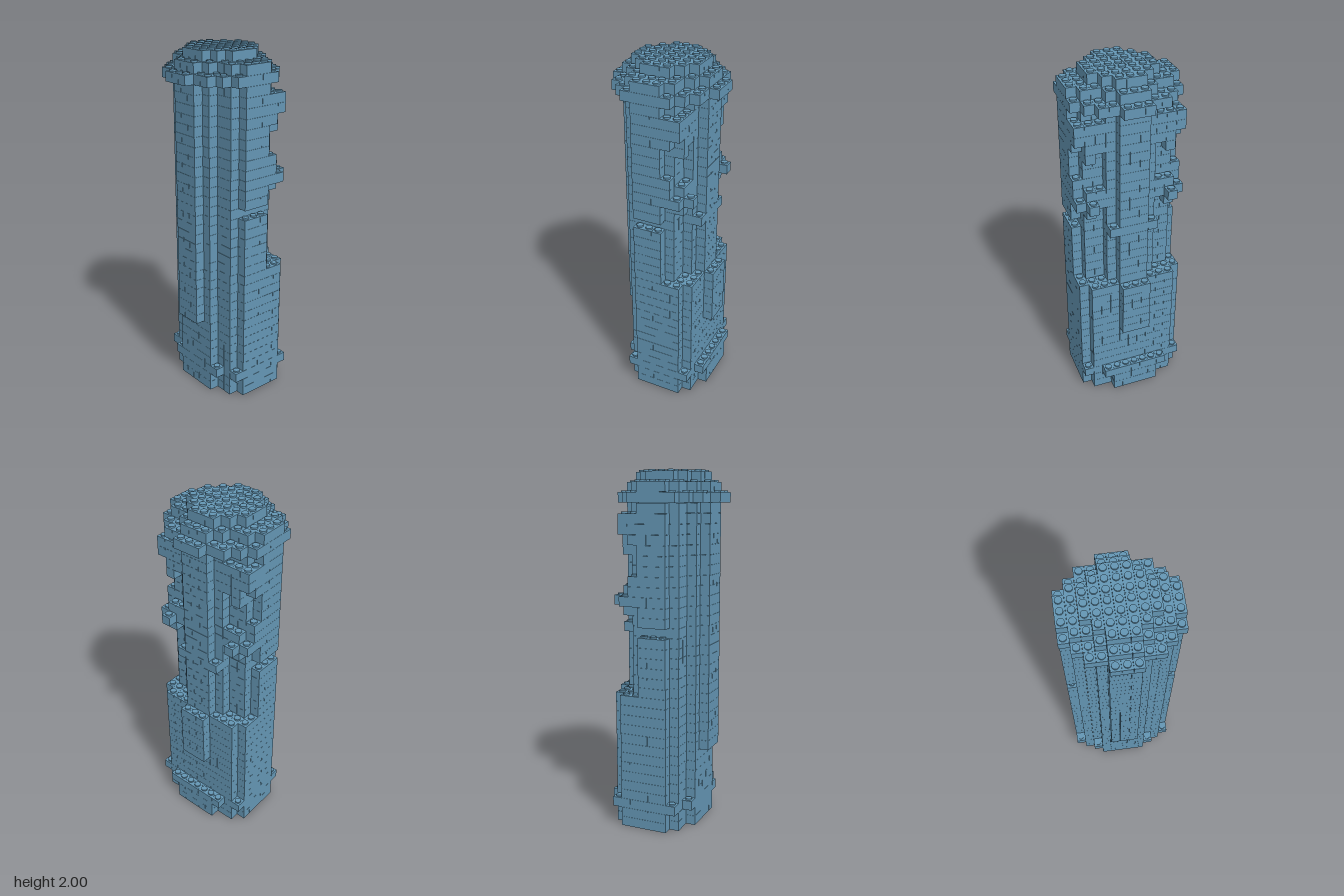
import * as THREE from 'three';
import { mergeGeometries } from 'three/addons/utils/BufferGeometryUtils.js';

const U = 0.0553;      // one cell, also one course height
const GAP = 0.0008;    // seam between bricks
const STUD_H = 2 - 36 * U;
const N = 5;           // cells run from -5 to 5 in x and z

// Plans: [minX, maxX] for |z| = 0..5 (null = empty row)
const base = [[-3, 5], [-3, 5], [-3, 5], [-2, 4], [-2, 4], [-1, 3]];
const baseRim = [[-3, 5], [-3, 5], [-3, 5], [-3, 5], [-2, 4], [-2, 4]];
const lower = [[-3, 4], [-3, 4], [-3, 4], [-2, 4], [-2, 4], [-1, 3]];
const middle = [[-4, 5], [-4, 5], [-3, 4], [-2, 4], [-2, 4], [-1, 3]];
const shaft = [[-4, 4], [-4, 4], [-3, 3], [-2, 2], [-2, 2], [-1, 1]];
const notch = [[-4, 4], [-4, 4], [-3, 4], [-2, 2], [-2, 2], null];
const corniceRim = [[-5, 5], [-5, 5], [-4, 4], [-4, 4], [-3, 3], [-2, 2]];
const cap = [[-3, 3], [-3, 3], [-2, 2], [-1, 1], null, null];

// Jagged corner bricks: course -> furthest x for |z| = 3, 4, 5
const jagged = {
  22: [2, 3, 1], 23: [3, 4, 3], 24: [3, 3, 2], 25: [2, 2, 2],
  28: [2, 3, 1], 29: [3, 3, 2], 30: [3, 3, 3], 31: [3, 3, 3],
};

function plan(course) {
  if (course < 2) return base;
  if (course === 2) return baseRim;
  if (course < 8) return lower;
  if (course < 14) return middle;
  if (course === 20) return notch;
  if (course === 33) return corniceRim;
  if (course === 35) return cap;
  const j = jagged[course];
  if (!j) return shaft;
  return shaft.map((r, i) => (i < 3 ? r : [r[0], j[i - 3]]));
}

function filled(course, x, z) {
  if (course > 35) return false;
  const row = plan(course)[Math.abs(z)];
  return !!row && x >= row[0] && x <= row[1];
}

// One brick covering cells x0..x1 of a row
function brick(course, z, x0, x1) {
  const g = new THREE.BoxGeometry((x1 - x0 + 1) * U - GAP, U - GAP, U - GAP);
  return g.translate(((x0 + x1) / 2) * U, (course + 0.5) * U, z * U);
}

// Round stud on top of an uncovered cell
function stud(course, x, z) {
  const g = new THREE.CylinderGeometry(0.0185, 0.0185, STUD_H, 16);
  return g.translate(x * U, (course + 1) * U + STUD_H / 2 - GAP / 2, z * U);
}

export function createModel() {
  const group = new THREE.Group();
  group.name = 'brickTower';
  const blue = new THREE.MeshStandardMaterial({ color: 0x6496b4 });
  blue.name = 'dusty blue';

  const sections = [
    ['base', 0, 2], ['lowerShaft', 3, 7], ['middleShaft', 8, 13],
    ['upperShaft', 14, 32], ['cornice', 33, 34], ['cap', 35, 35],
  ];
  for (const [name, from, to] of sections) {
    const bricks = [], studs = [];
    for (let c = from; c <= to; c++) {
      const rows = plan(c);
      for (let z = -N; z <= N; z++) {
        const row = rows[Math.abs(z)];
        if (!row) continue;
        // Split each row into staggered bricks of up to four cells
        let start = row[0];
        for (let x = row[0]; x <= row[1]; x++) {
          const seam = (x + 2 * (c + Math.abs(z)) + 40) % 4 === 0;
          if (seam || x === row[1]) {
            bricks.push(brick(c, z, start, x));
            start = x + 1;
          }
          if (!filled(c + 1, x, z)) studs.push(stud(c, x, z));
        }
      }
    }
    const body = new THREE.Mesh(mergeGeometries(bricks), blue);
    body.name = name + 'Bricks';
    group.add(body);
    if (studs.length) {
      const top = new THREE.Mesh(mergeGeometries(studs), blue);
      top.name = name + 'Studs';
      group.add(top);
    }
  }
  return group;
}
